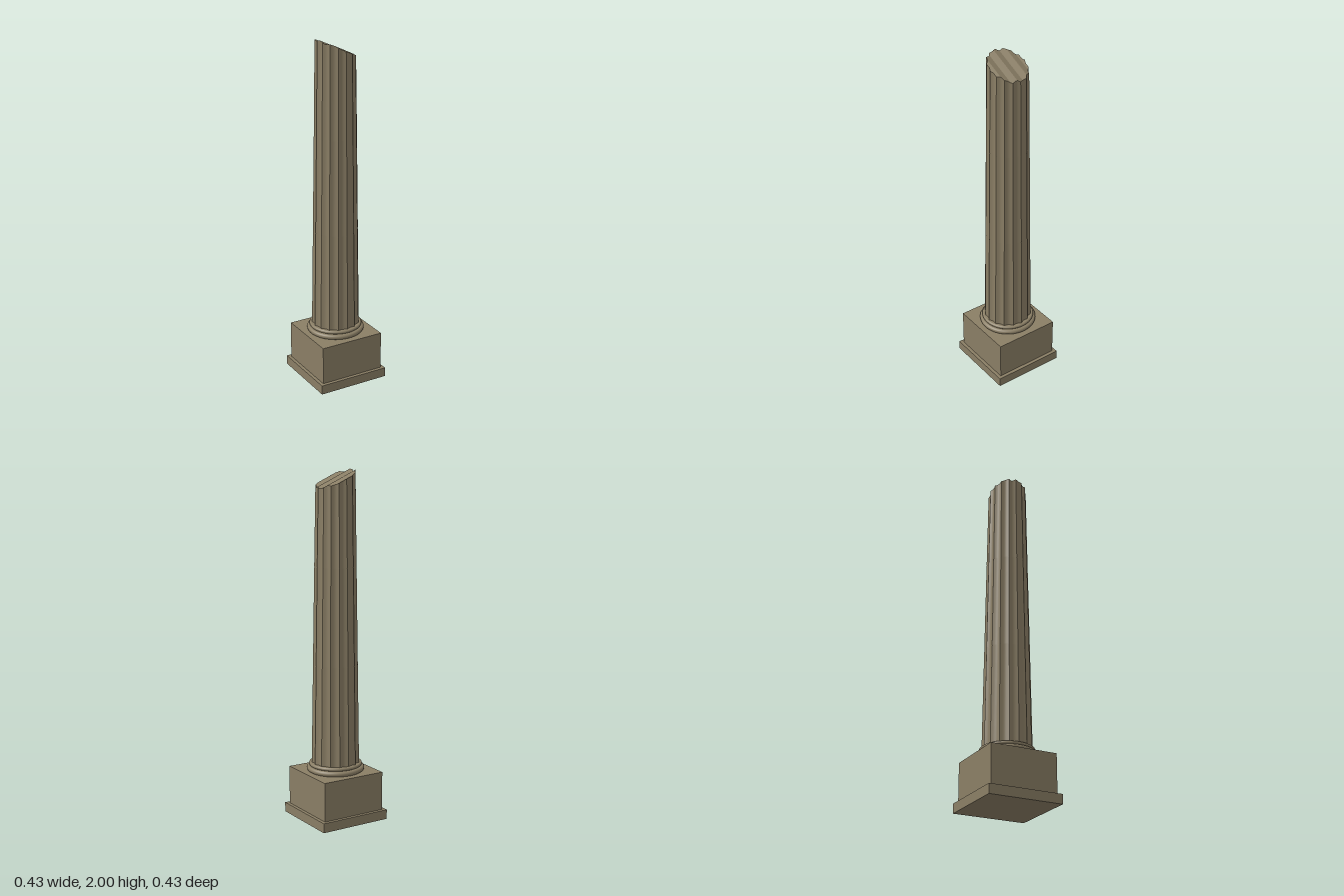
import * as THREE from 'three';

const FLUTES = 16, SEGS = 8, N = FLUTES * SEGS;

// Shaft radius tapers with height
const radiusAt = y => 0.139 - (y - 0.325) * 0.0162;

// Broken top: slopes down toward +x with zigzag ridges running along x
function topHeight(x, z) {
  const period = 0.0715;
  const t = (((z - 0.015) / period) % 1 + 1) % 1;
  const drop = 1 - Math.abs(2 * t - 1);
  return 1.951 - 0.455 * x - 0.011 * drop;
}

// Point on the scalloped outline, index i around, sharp arrises between flutes
function outline(i, r) {
  const a = (i / N) * Math.PI * 2;
  const k = r * (1 - 0.07 * Math.sin(Math.PI * ((i % SEGS) / SEGS)));
  return [Math.cos(a) * k, Math.sin(a) * k];
}

function ringPoint(i, y, scale = 1) {
  const [x, z] = outline(i % N, radiusAt(y) * scale);
  return [x, y, z];
}

function topPoint(i) {
  const [x, z] = outline(i % N, radiusAt(1.95));
  return [x, topHeight(x, z), z];
}

// Fluted wall; each flute has its own vertices so the arrises stay sharp
function shaftGeometry() {
  const rows = [i => ringPoint(i, 0.325)];
  for (const y of [0.905, 1.46]) {
    rows.push(i => ringPoint(i, y - 0.003), i => ringPoint(i, y, 0.988), i => ringPoint(i, y + 0.003));
  }
  rows.push(topPoint);
  const pos = [], index = [];
  const w = SEGS + 1;
  for (let f = 0; f < FLUTES; f++) {
    const base = pos.length / 3;
    for (const row of rows) for (let s = 0; s <= SEGS; s++) pos.push(...row(f * SEGS + s));
    for (let r = 0; r < rows.length - 1; r++) for (let s = 0; s < SEGS; s++) {
      const a = base + r * w + s, b = a + 1, c = a + w, d = c + 1;
      index.push(a, c, b, b, c, d);
    }
  }
  const g = new THREE.BufferGeometry();
  g.setAttribute('position', new THREE.Float32BufferAttribute(pos, 3));
  g.setIndex(index);
  g.computeVertexNormals();
  return g;
}

// Broken face: strips joining each rim point to its mirror across x
function breakGeometry() {
  const pos = [];
  for (let k = -N / 4; k < N / 4; k++) {
    const right = i => topPoint(i + N);
    const left = i => { const [x, , z] = right(i); return [-x, topHeight(-x, z), z]; };
    const a = right(k), b = right(k + 1), c = left(k), d = left(k + 1);
    if (b[2] <= a[2]) pos.push(...a, ...b, ...c, ...b, ...d, ...c);
    else pos.push(...a, ...c, ...b, ...b, ...c, ...d);
  }
  const g = new THREE.BufferGeometry();
  g.setAttribute('position', new THREE.Float32BufferAttribute(pos, 3));
  g.computeVertexNormals();
  return g;
}

export function createModel() {
  const group = new THREE.Group();
  const stone = new THREE.MeshStandardMaterial({ color: 0x8a7e65 });
  stone.name = 'weathered stone';

  const add = (name, geometry, y = 0) => {
    const mesh = new THREE.Mesh(geometry, stone);
    mesh.name = name;
    mesh.position.y = y;
    group.add(mesh);
  };

  // Square pedestal
  add('plinth', new THREE.BoxGeometry(0.43, 0.055, 0.43), 0.0275);
  add('pedestal', new THREE.BoxGeometry(0.39, 0.225, 0.39), 0.1675);

  // Round base mouldings: a large roll, then a smaller one
  const roll = (r, y, h) => {
    const pts = [new THREE.Vector2(0.001, y)];
    for (let i = 0; i <= 8; i++) {
      const a = (i / 8 - 0.5) * Math.PI;
      pts.push(new THREE.Vector2(r - h / 2 + Math.cos(a) * h / 2, y + h / 2 + Math.sin(a) * h / 2));
    }
    pts.push(new THREE.Vector2(0.001, y + h));
    return new THREE.LatheGeometry(pts, 64);
  };
  add('lowerMoulding', roll(0.167, 0.28, 0.03));
  add('upperMoulding', roll(0.153, 0.31, 0.02));

  // Column
  add('flutedShaft', shaftGeometry());
  add('brokenTop', breakGeometry());
  return group;
}
